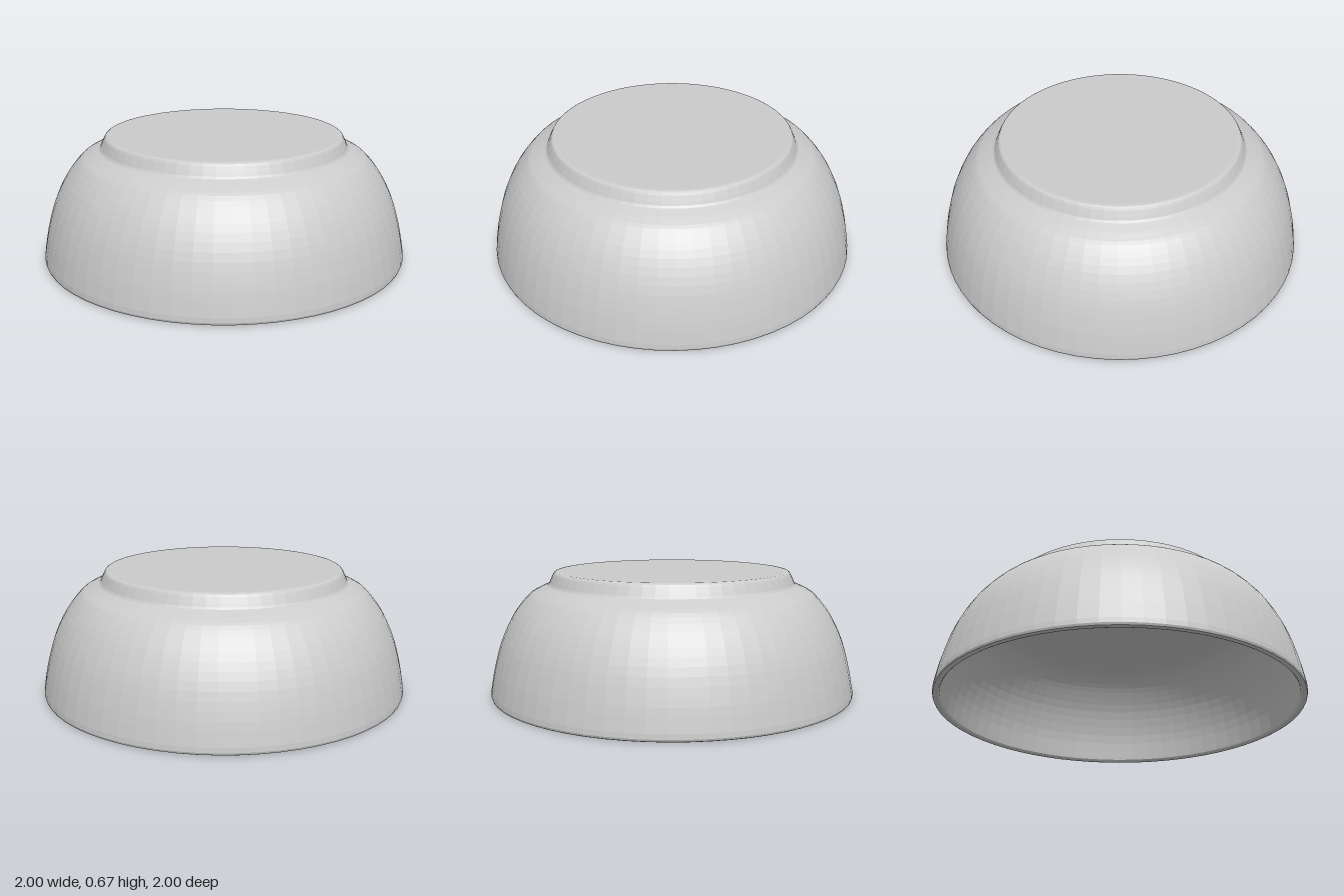
import * as THREE from 'three';

const v = (x, y) => new THREE.Vector2(x, y);
const curve = (pts, n) => new THREE.SplineCurve(pts.map(p => v(...p))).getPoints(n);

export function createModel() {
  const group = new THREE.Group();
  const material = new THREE.MeshStandardMaterial({ color: 0xcccccc, flatShading: true });

  // Inside: flat floor, then the curved wall down to the rim
  const inner = [
    v(0, 0.55),
    ...curve([[0.61, 0.55], [0.67, 0.545], [0.73, 0.52], [0.78, 0.478], [0.83, 0.41],
      [0.89, 0.3], [0.937, 0.16], [0.96, 0.03]], 20),
  ];

  // Rounded rim that the upturned bowl rests on
  const rim = [v(0.963, 0.012), v(0.97, 0.003), v(0.978, 0), v(0.988, 0), v(0.996, 0.004), v(1, 0.015)];

  // Outside wall rising to the shoulder
  const outer = curve([[0.998, 0.04], [0.973, 0.17], [0.93, 0.315], [0.866, 0.444],
    [0.79, 0.54], [0.74, 0.573], [0.695, 0.594]], 20);

  // Foot ring with softened edges and a flat base
  const foot = [v(0.68, 0.601), v(0.672, 0.611), v(0.665, 0.627), v(0.652, 0.655),
    v(0.646, 0.665), v(0.638, 0.67), v(0.625, 0.672), v(0, 0.672)];

  const bowl = new THREE.Mesh(
    new THREE.LatheGeometry([...inner, ...rim, ...outer, ...foot], 64), material);
  bowl.name = 'upturnedBowl';
  group.add(bowl);
  return group;
}
